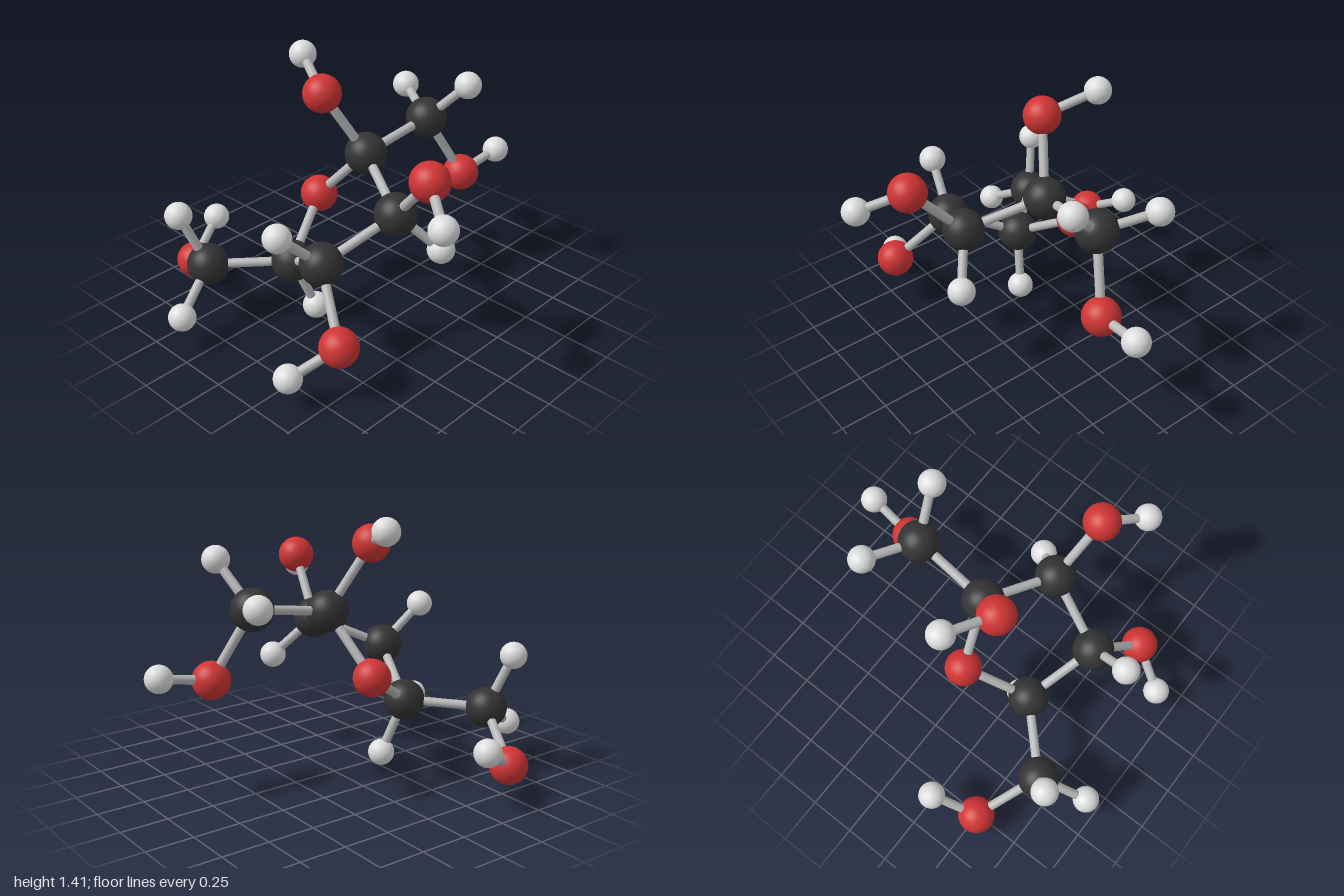
import * as THREE from 'three';

export function createModel() {
  const model = new THREE.Group();
  const material = (name, color) => {
    const m = new THREE.MeshStandardMaterial({ color });
    m.name = name;
    return m;
  };
  const bondMaterial = material('bond grey', 0xb8b8b8);

  // one sphere geometry and colour per element
  const element = (name, radius, colorName, color) => ({
    name,
    geometry: new THREE.SphereGeometry(radius, 40, 28),
    material: material(colorName, color),
  });
  const elements = {
    C: element('carbon', 0.109, 'charcoal', 0x333333),
    O: element('oxygen', 0.098, 'red', 0xcf3434),
    H: element('hydrogen', 0.071, 'pale grey', 0xdddddd),
  };

  // atom centres; the first letter of each key is the element
  const atoms = {
    // five-sided ring
    C2: [0, 0.89, -0.043], C3: [0.375, 0.755, 0.14], C4: [0.23, 0.575, 0.508],
    C5: [-0.134, 0.37, 0.367], O5: [-0.27, 0.585, 0.035],
    // rear arm
    C1: [0.03, 0.955, -0.478], O1: [0.14, 0.6, -0.655], HO1: [0.167, 0.65, -0.929],
    H1a: [0.242, 1.18, -0.55], H1b: [-0.242, 1.025, -0.618],
    // front arm
    C6: [-0.448, 0.35, 0.67], O6: [-0.776, 0.162, 0.512], HO6: [-0.858, 0.307, 0.28],
    H6a: [-0.54, 0.64, 0.763], H6b: [-0.355, 0.19, 0.927],
    // ring side groups
    O2: [-0.127, 1.24, 0.138], HO2: [-0.387, 1.343, 0.018],
    O3: [0.64, 1.06, 0.21], HO3: [0.85, 0.957, 0.36], H3: [0.523, 0.54, -0.035],
    O4: [0.497, 0.303, 0.66], HO4: [0.375, 0.177, 0.878], H4: [0.17, 0.79, 0.73],
    H5: [-0.07, 0.074, 0.265],
  };
  const bonds = [
    'C2 C3', 'C3 C4', 'C4 C5', 'C5 O5', 'O5 C2',
    'C2 C1', 'C1 O1', 'O1 HO1', 'C1 H1a', 'C1 H1b',
    'C5 C6', 'C6 O6', 'O6 HO6', 'C6 H6a', 'C6 H6b',
    'C2 O2', 'O2 HO2', 'C3 O3', 'O3 HO3', 'C3 H3',
    'C4 O4', 'O4 HO4', 'C4 H4', 'C5 H5',
  ];

  // atoms
  for (const [key, position] of Object.entries(atoms)) {
    const { name, geometry, material: mat } = elements[key[0]];
    const ball = new THREE.Mesh(geometry, mat);
    ball.name = `${name} ${key}`;
    ball.position.set(...position);
    model.add(ball);
  }

  // bonds: rods running between atom centres
  const rod = new THREE.CylinderGeometry(0.024, 0.024, 1, 20);
  const up = new THREE.Vector3(0, 1, 0);
  for (const pair of bonds) {
    const [a, b] = pair.split(' ').map((key) => new THREE.Vector3(...atoms[key]));
    const along = b.clone().sub(a);
    const bond = new THREE.Mesh(rod, bondMaterial);
    bond.name = `bond ${pair}`;
    bond.position.copy(a).add(b).multiplyScalar(0.5);
    bond.scale.y = along.length();
    bond.quaternion.setFromUnitVectors(up, along.normalize());
    model.add(bond);
  }
  return model;
}
